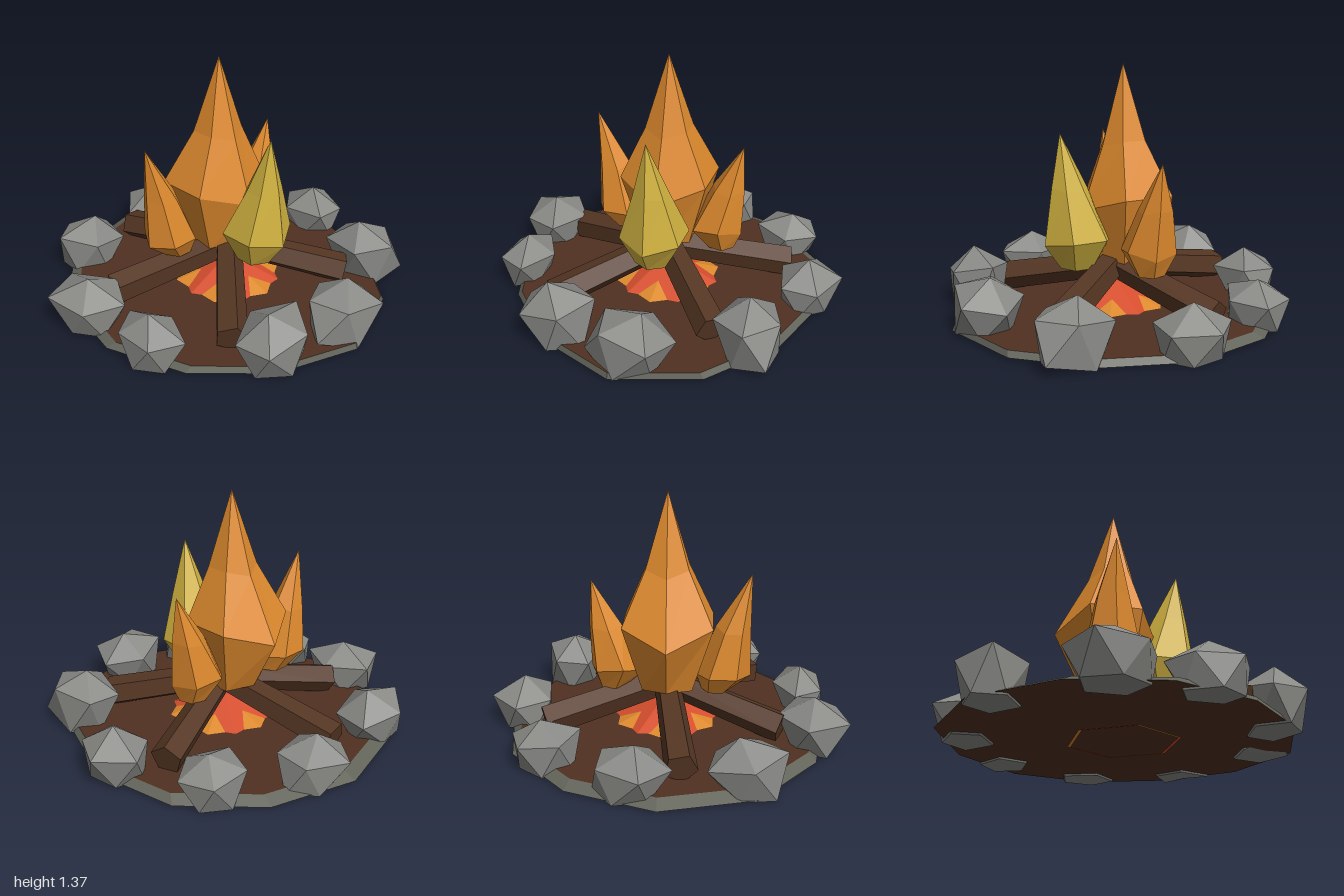
import * as THREE from 'three';
import { mergeVertices } from 'three/addons/utils/BufferGeometryUtils.js';

const mat = (name, color) => {
  const m = new THREE.MeshStandardMaterial({ color, flatShading: true });
  m.name = name;
  return m;
};

function seeded(seed) {
  let s = seed;
  return () => {
    s = (s * 16807) % 2147483647;
    return s / 2147483647;
  };
}

export function createModel() {
  const group = new THREE.Group();
  const stone = mat('stone grey', 0x8a8a87);
  const rim = mat('rim grey', 0x62645a);
  const wood = mat('wood brown', 0x553623);
  const earth = mat('earth brown', 0x503121);
  const orange = mat('flame orange', 0xde8a2e);
  const yellow = mat('flame yellow', 0xd2b341);
  const red = mat('ember red', 0xd64e2e);

  const add = (name, geometry, material) => {
    const mesh = new THREE.Mesh(geometry, material);
    mesh.name = name;
    group.add(mesh);
    return mesh;
  };

  // Uneven earth disc with a sloping grey rim
  const radii = [0.94, 0.91, 0.87, 0.9, 0.93, 0.94, 0.97, 0.98, 0.94, 0.91, 0.87, 0.88];
  const disc = new THREE.CylinderGeometry(1, 1, 0.04, 12);
  const dp = disc.attributes.position;
  for (let i = 0; i < dp.count; i++) {
    const x = dp.getX(i), z = dp.getZ(i), top = dp.getY(i) > 0;
    const k = (Math.round(Math.atan2(x, z) / (Math.PI / 6)) + 12) % 12;
    const r = radii[k] * (top ? 0.955 : 1);
    dp.setXYZ(i, x * r, top ? 0.042 : 0.01, z * r + (top ? 0.03 : 0));
  }
  disc.computeVertexNormals();
  add('groundDisc', disc, [rim, earth, earth]);

  // Ember mound: two low six-sided cones crossing, one turned half a side
  const mound = (name, material, radius, height, turn) => {
    const g = new THREE.CylinderGeometry(0.03, radius, height, 6);
    g.rotateY(turn);
    g.translate(0, 0.035 + height / 2, 0);
    add(name, g, material);
  };
  mound('outerEmbers', orange, 0.33, 0.1, 0);
  mound('innerEmbers', red, 0.315, 0.125, Math.PI / 6);

  // Thin ember edge on the underside
  const edge = new THREE.RingGeometry(0.29, 0.31, 6, 1);
  edge.clearGroups();
  for (let i = 0; i < 6; i++) edge.addGroup(i * 6, 6, i % 2);
  edge.rotateX(Math.PI / 2);
  edge.translate(0, 0.004, 0);
  add('emberEdge', edge, [orange, red]);

  // Five logs leaning in to the centre: outer end x, z
  [[-0.11, -0.74], [0.66, -0.26], [0.42, 0.52], [-0.49, 0.5], [-0.64, -0.27]].forEach(([x, z], i) => {
    const outer = new THREE.Vector3(x, 0.11, z);
    const inner = new THREE.Vector3(-x * 0.05, 0.265, -z * 0.05);
    const dir = inner.clone().sub(outer);
    const log = new THREE.CylinderGeometry(0.078, 0.09, dir.length(), 5);
    log.rotateY(i * 0.7);
    const mesh = add('log' + (i + 1), log, wood);
    mesh.position.copy(outer).add(inner).multiplyScalar(0.5);
    mesh.quaternion.setFromUnitVectors(new THREE.Vector3(0, 1, 0), dir.normalize());
  });

  // Ring of uneven stones with flat bottoms: centre x, z, half sizes x, z, height
  const stones = [
    [-0.44, -0.73, 0.2, 0.18, 0.29], [0.16, -0.8, 0.23, 0.19, 0.27],
    [0.6, -0.55, 0.19, 0.18, 0.26], [0.82, -0.03, 0.18, 0.21, 0.28],
    [0.62, 0.51, 0.185, 0.2, 0.33], [0.06, 0.78, 0.235, 0.2, 0.31],
    [-0.37, 0.69, 0.21, 0.18, 0.33], [-0.79, 0.21, 0.165, 0.21, 0.27],
    [-0.81, -0.25, 0.19, 0.22, 0.28],
  ];
  const rand = seeded(4242);
  stones.forEach(([cx, cz, hx, hz, h], i) => {
    let g = new THREE.IcosahedronGeometry(1, 0);
    g.deleteAttribute('uv');
    g.deleteAttribute('normal');
    g = mergeVertices(g);
    g.rotateZ(0.55 + (rand() - 0.5) * 0.5);
    g.rotateY(rand() * 6.28);
    const p = g.attributes.position;
    for (let j = 0; j < p.count; j++) {
      const s = 0.9 + rand() * 0.2;
      p.setXYZ(j, p.getX(j) * s, p.getY(j) * s, p.getZ(j) * s);
    }
    g.computeBoundingBox();
    const b = g.boundingBox;
    const fit = (v, axis, lo, hi) => lo + ((v - b.min[axis]) / (b.max[axis] - b.min[axis])) * (hi - lo);
    // Low corners are pressed flat on the ground and drawn in
    for (let j = 0; j < p.count; j++) {
      const y = fit(p.getY(j), 'y', -0.1, h);
      const k = y < 0.06 ? 0.76 : 1;
      p.setXYZ(j,
        cx + k * fit(p.getX(j), 'x', -hx, hx),
        y < 0.06 ? 0 : y,
        cz + k * fit(p.getZ(j), 'z', -hz, hz));
    }
    g.computeVertexNormals();
    add('stone' + (i + 1), g, stone);
  });

  // Six-sided flames; rings run from tip to foot: centre x, y, centre z, radius,
  // and how far the side corners are lifted
  const flame = (name, material, rings, turn = 0) => {
    const g = new THREE.CylinderGeometry(1, 1, 1, 6, rings.length - 1, true);
    g.rotateY(turn);
    const p = g.attributes.position;
    for (let i = 0; i < p.count; i++) {
      const [x, y, z, r, lift = 0] = rings[Math.floor(i / 7)];
      const px = p.getX(i);
      p.setXYZ(i, x + px * r, y + Math.abs(px) * lift, z + p.getZ(i) * r);
    }
    g.computeVertexNormals();
    add(name, g, material);
  };
  flame('mainFlame', orange, [
    [-0.01, 1.37, -0.06, 0], [-0.01, 0.92, -0.07, 0.135, 0.04], [-0.015, 0.57, -0.1, 0.285, 0.1],
    [-0.01, 0.28, -0.08, 0.16, -0.02], [-0.01, 0.24, -0.08, 0]]);
  flame('rightFlame', orange, [
    [-0.465, 0.95, -0.15, 0], [-0.37, 0.61, -0.15, 0.095, 0.04], [-0.32, 0.4, -0.14, 0.15, -0.04],
    [-0.28, 0.27, -0.13, 0.08], [-0.28, 0.25, -0.13, 0]], 0.5);
  flame('leftFlame', orange, [
    [0.41, 0.88, -0.08, 0], [0.335, 0.6, -0.08, 0.095, 0.03], [0.27, 0.42, -0.075, 0.155, -0.06],
    [0.3, 0.26, -0.07, 0.08], [0.3, 0.24, -0.07, 0]], 0.3);
  flame('frontFlame', yellow, [
    [-0.01, 1.01, 0.315, 0], [0, 0.72, 0.27, 0.1, -0.02], [0, 0.4, 0.22, 0.195, 0.04],
    [-0.01, 0.26, 0.22, 0.1], [-0.01, 0.23, 0.22, 0]]);

  return group;
}
